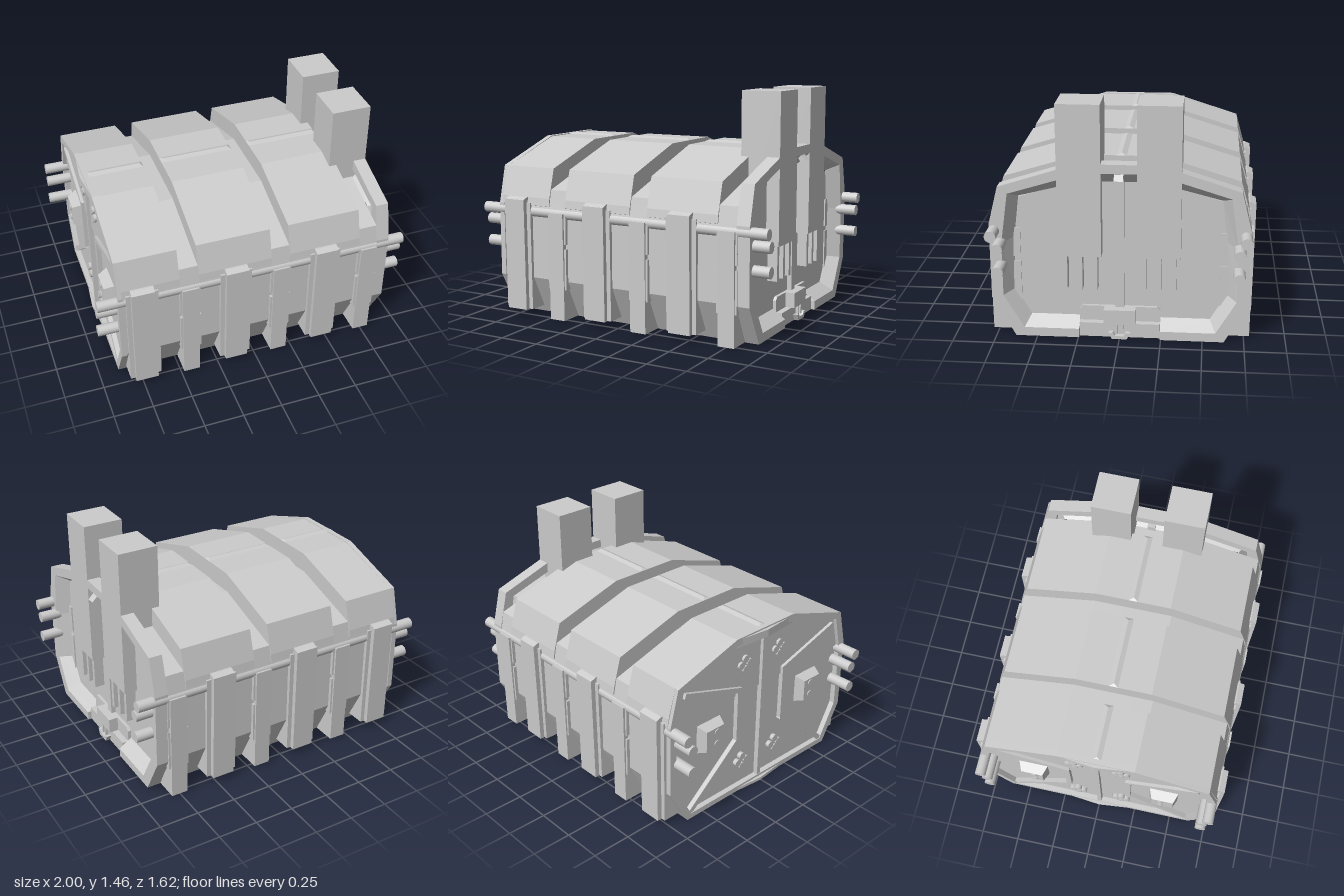
import * as THREE from 'three';

const mat = new THREE.MeshStandardMaterial({ color: 0xcccccc, flatShading: true, side: THREE.DoubleSide });
const smooth = new THREE.MeshStandardMaterial({ color: 0xcccccc });

// Mirror a half profile of [z, y] points (bottom to top) into a closed outline
const mirror = half => [...half, ...half.map(([z, y]) => [-z, y]).reverse()];

export function createModel() {
  const model = new THREE.Group();

  const add = (name, geo, material = mat) => {
    const m = new THREE.Mesh(geo, material);
    m.name = name;
    model.add(m);
    return m;
  };
  // Extrude a [z, y] outline along x from x0 to x1
  const slab = (name, pts, x0, x1, hole) => {
    const toV = p => p.map(([z, y]) => new THREE.Vector2(-z, y));
    const shape = new THREE.Shape(toV(pts));
    if (hole) shape.holes.push(new THREE.Path(toV(hole)));
    const geo = new THREE.ExtrudeGeometry(shape, { depth: x1 - x0, bevelEnabled: false });
    geo.rotateY(Math.PI / 2).translate(x0, 0, 0);
    return add(name, geo);
  };
  const box = (name, x0, x1, y0, y1, z0, z1) => add(name,
    new THREE.BoxGeometry(x1 - x0, y1 - y0, z1 - z0).translate((x0 + x1) / 2, (y0 + y1) / 2, (z0 + z1) / 2));
  // Cylinder lying along x
  const rod = (name, r, x0, x1, y, z, n = 16) => add(name,
    new THREE.CylinderGeometry(r, r, x1 - x0, n).rotateZ(Math.PI / 2).translate((x0 + x1) / 2, y, z), smooth);

  // Hull core; its top is the floor of the roof grooves
  slab('hull', mirror([[0.63, 0], [0.757, 0.25], [0.757, 0.66], [0.77, 0.7], [0.745, 0.825], [0.255, 0.978]]), -0.84, 0.81);

  // Raised roof panels with a small centre ridge
  const roof = mirror([[0.72, 0.7], [0.772, 0.72], [0.765, 0.77], [0.713, 0.955], [0.245, 1.1]]);
  for (const [a, b] of [[-0.85, -0.49], [-0.37, 0.1], [0.22, 0.69]]) {
    slab('roofPanel', roof, a, b);
    const ridge = add('roofRidge', new THREE.CylinderGeometry(0.008, 0.03, b - a, 4, 1).rotateZ(Math.PI / 2));
    ridge.geometry = new THREE.BoxGeometry(b - a, 0.012, 0.06);
    const p = ridge.geometry.attributes.position;
    for (let i = 0; i < p.count; i++) if (p.getY(i) > 0) {
      p.setZ(i, 0);
      p.setX(i, p.getX(i) - Math.sign(p.getX(i)) * 0.02);
    }
    ridge.position.set((a + b) / 2, 1.106, 0);
  }

  // Front rim around the recessed end, open at the bottom for the coupler
  const outer = [[0.63, 0], [0.77, 0.25], [0.772, 0.72], [0.713, 0.955], [0.245, 1.105]];
  const rimIn = [[0.245, 0.056], [0.578, 0.056], [0.7, 0.265], [0.7, 0.6], [0.656, 0.913], [0.21, 1.05]];
  const floorIn = [[0.245, 0.113], [0.543, 0.113], [0.64, 0.278], [0.635, 0.617], [0.604, 0.875], [0.21, 0.975]];
  const inner = mirror(rimIn);
  slab('chimneyEndRim', [...mirror([[0.245, 0], ...outer]), ...inner.slice().reverse()], 0.81, 0.893);

  // Sloped band between the rim and the recess floor
  const low = mirror(floorIn), verts = [], index = [];
  inner.forEach(([z, y], i) => verts.push(0.893, y, z, 0.809, low[i][1], low[i][0]));
  for (let i = 0; i < inner.length - 1; i++) {
    const a = i * 2;
    index.push(a, a + 2, a + 1, a + 1, a + 2, a + 3);
  }
  const band = new THREE.BufferGeometry();
  band.setAttribute('position', new THREE.Float32BufferAttribute(verts, 3));
  band.setIndex(index);
  band.computeVertexNormals();
  add('recessBevel', band);

  // Recess spine, top hook and coupler
  box('recessSpine', 0.8, 0.84, 0.18, 1.02, -0.027, 0.027);
  const hook = slab('topHook', [[0.04, 0.01], [0.0, 0.05], [-0.02, 0.03], [0, 0]], -0.027, 0.027);
  hook.rotation.y = Math.PI / 2;
  hook.position.set(0.885, 1.005, 0);
  slab('couplerHood', mirror([[0.245, 0.09], [0.245, 0.165], [0.225, 0.185]]), 0.8, 0.83);
  box('couplerTray', 0.8, 0.87, 0.0, 0.09, -0.243, 0.243);
  box('couplerBlock', 0.8, 0.89, 0.09, 0.185, -0.095, 0.095);
  slab('couplerJaw', mirror([[0.045, 0], [0.065, 0.04], [0.04, 0.04], [0.025, 0.02]]), 0.78, 0.9);
  for (const s of [-1, 1]) box('couplerRail', 0.85, 0.89, 0.03, 0.09, s * 0.02 - 0.007, s * 0.02 + 0.007);

  // Bolted door end: rim, centre seam, visor and sill
  slab('doorRim', mirror(outer), -0.875, -0.84, mirror([[0.6, 0.035], [0.725, 0.265], [0.725, 0.7], [0.672, 0.92], [0.235, 1.06]]));
  box('doorSeam', -0.872, -0.83, 0.02, 1.07, -0.014, 0.014);
  for (const [name, y, h] of [['doorVisor', 1.045, 0.05], ['doorSill', 0, 0.02]]) {
    const tri = new THREE.Shape([[-0.87, -0.25], [-0.895, 0], [-0.87, 0.25]].map(p => new THREE.Vector2(...p)));
    add(name, new THREE.ExtrudeGeometry(tri, { depth: h, bevelEnabled: false }).rotateX(-Math.PI / 2).translate(0, y, 0));
  }

  for (const s of [-1, 1]) {
    // Chimneys with three prongs underneath
    const c = s * 0.235;
    box('chimney', 0.64, 0.893, 0.53, 1.457, c - 0.129, c + 0.129);
    for (const z of [0.145, 0.235, 0.325]) box('chimneyProng', 0.8, 0.875, 0.31, 0.54, s * z - 0.014, s * z + 0.014);

    // Bracket strips on each door
    const path = [[0.64, 0.88], [0.2, 0.74], [0.2, 0.38], [0.6, 0.04]];
    for (let i = 0; i < 3; i++) {
      const [z0, y0] = path[i], [z1, y1] = path[i + 1];
      const strip = add('doorStrip', new THREE.BoxGeometry(0.04, 0.035, Math.hypot(z1 - z0, y1 - y0) + 0.025));
      strip.position.set(-0.85, (y0 + y1) / 2, s * (z0 + z1) / 2);
      strip.rotation.x = -Math.atan2(y1 - y0, s * (z1 - z0));
    }
    // Tapered lock box with two studs
    const lock = add('lockBox', new THREE.CylinderGeometry(0.1, 0.135, 0.065, 4).rotateY(Math.PI / 4).rotateZ(Math.PI / 2));
    lock.position.set(-0.87, 0.52, s * 0.435);
    for (const y of [0.48, 0.56]) rod('lockStud', 0.022, -0.908, -0.89, y, s * 0.42, 12);
    // Bolt clusters
    for (const y of [0.2, 0.9]) for (let k = 0; k < 4; k++) {
      const a = k * Math.PI / 2;
      rod('doorBolt', 0.025, -0.866, -0.83, y + 0.036 * Math.sin(a), s * 0.15 + 0.036 * Math.cos(a), 10);
    }

    // Side pipes
    rod('railPipe', 0.035, -1, 1, 0.68, s * 0.745);
    rod('middlePipe', 0.035, -1, 1, 0.6, s * 0.71);
    rod('lowerPipe', 0.035, -1, 1, 0.455, s * 0.71);

    // Tall and short side posts
    const side = pts => pts.map(([z, y]) => [s * z, y]);
    for (const x of [-0.728, -0.135, 0.455]) {
      slab('tallPost', side([[0.6, 0.043], [0.805, 0.043], [0.812, 0.755], [0.775, 0.77], [0.6, 0.77]]), x - 0.072, x + 0.072);
      slab('tallPostPlate', side([[0.6, 0.045], [0.775, 0.045], [0.782, 0.735], [0.6, 0.74]]), x - 0.1, x + 0.1);
    }
    for (const x of [-0.428, 0.162, 0.752]) {
      slab('shortPost', side([[0.6, 0.003], [0.785, 0.003], [0.792, 0.685], [0.6, 0.685]]), x - 0.053, x + 0.053);
      for (const [y0, y1] of [[0.2, 0.46], [0.49, 0.675]])
        slab('shortPostPlate', side([[0.6, y0], [0.778, y0], [0.778, y1], [0.6, y1]]), x - 0.066, x + 0.066);
    }
  }
  return model;
}
